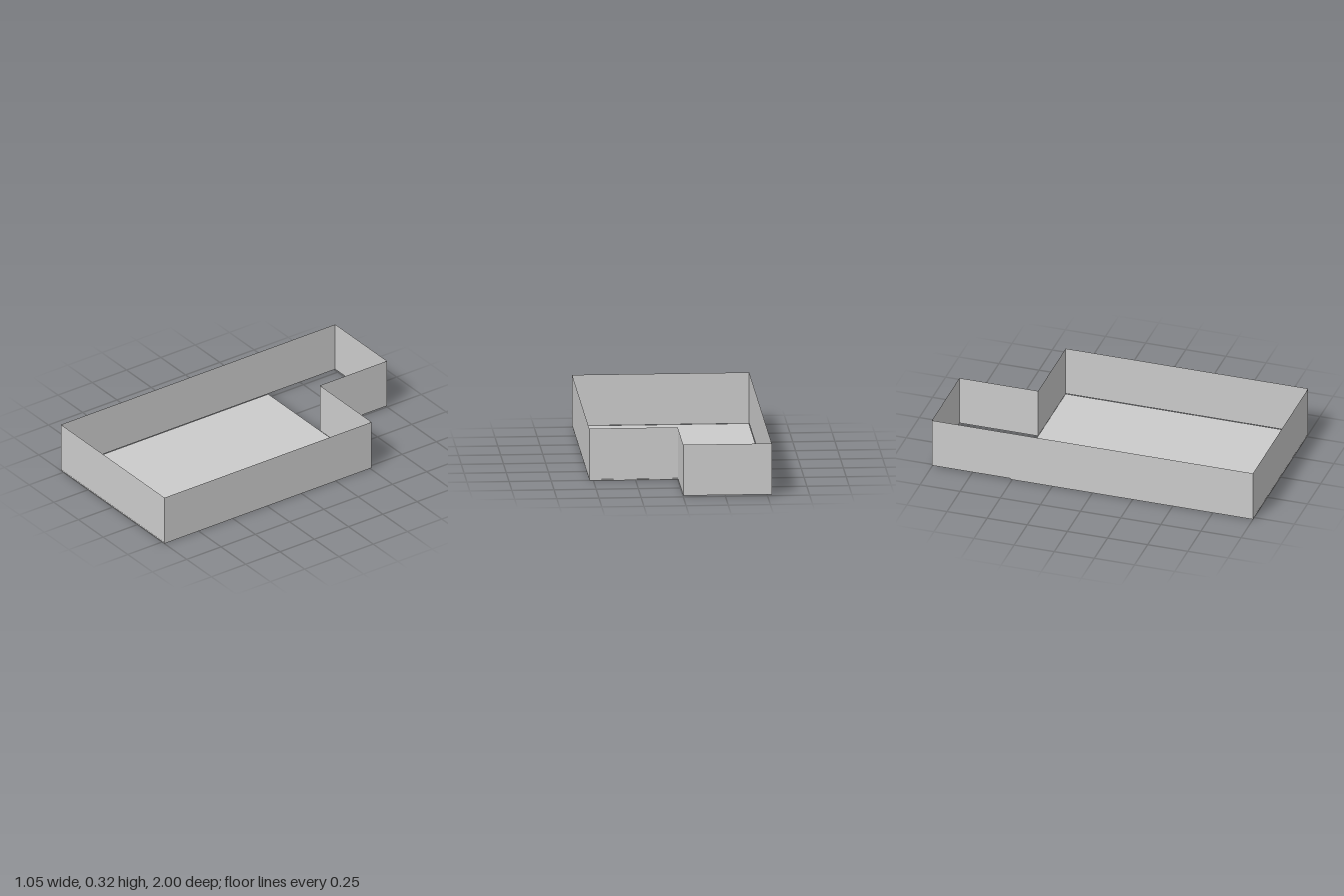
import * as THREE from 'three';

// Room outline seen from above, as [x, z] corners
const OUTLINE = [
  [-0.525, 1], [0.525, 1], [0.525, -0.51],
  [0, -0.51], [0, -1], [-0.525, -1],
];
const WALL_NAMES = ['frontWall', 'leftWall', 'backLeftWall', 'notchWall', 'backRightWall', 'rightWall'];
const BASE = 0.008, TOP = 0.316, FLOOR = 0.007;

export function createModel() {
  const room = new THREE.Group();
  room.name = 'room';
  const material = new THREE.MeshStandardMaterial({ color: 0xcccccc, side: THREE.DoubleSide });

  // Paper-thin walls, one for each side of the outline, facing outwards
  const walls = new THREE.Group();
  walls.name = 'walls';
  OUTLINE.forEach(([x1, z1], i) => {
    const [x2, z2] = OUTLINE[(i + 1) % OUTLINE.length];
    const dx = x2 - x1, dz = z2 - z1;
    const wall = new THREE.Mesh(new THREE.PlaneGeometry(Math.hypot(dx, dz), TOP - BASE), material);
    wall.name = WALL_NAMES[i];
    wall.position.set((x1 + x2) / 2, (BASE + TOP) / 2, (z1 + z2) / 2);
    wall.rotation.y = Math.atan2(-dz, dx);
    walls.add(wall);
  });
  room.add(walls);

  // Thin floor under the main part only; the rear extension stays open
  const floor = new THREE.Mesh(new THREE.BoxGeometry(1.046, FLOOR, 1.51), material);
  floor.name = 'floor';
  floor.position.set(0, FLOOR / 2, 0.245);
  room.add(floor);

  return room;
}
